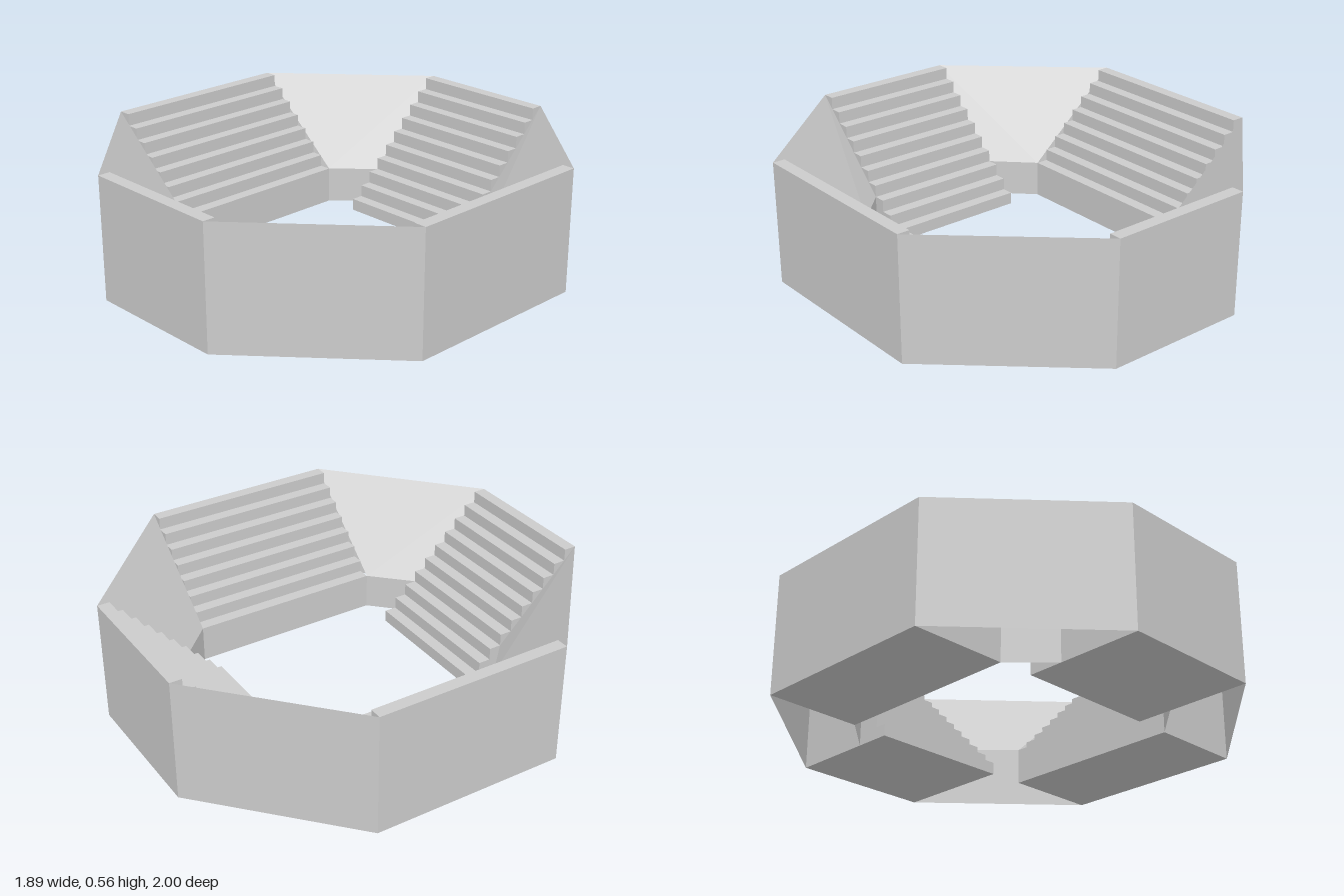
import * as THREE from 'three';

const S = 1 / 18;        // rise and run of one step
const H = 10 * S;        // overall height
const material = new THREE.MeshStandardMaterial({ color: 0xcccccc, flatShading: true });
const thin = new THREE.MeshStandardMaterial({ color: 0xcccccc, flatShading: true, side: THREE.DoubleSide });

// Solid flight of steps rising outward along +x, centred on z
function stairs(name, inner, count, firstHeight, width, angle) {
  const shape = new THREE.Shape();
  shape.moveTo(inner, 0);
  for (let i = 0; i < count; i++) {
    shape.lineTo(inner + i * S, firstHeight + i * S);
    shape.lineTo(inner + (i + 1) * S, firstHeight + i * S);
  }
  shape.lineTo(inner + count * S, 0);
  shape.closePath();
  const geometry = new THREE.ExtrudeGeometry(shape, { depth: width, bevelEnabled: false });
  geometry.translate(0, 0, -width / 2).rotateY(angle);
  const mesh = new THREE.Mesh(geometry, material);
  mesh.name = name;
  return mesh;
}

// Hollow corner: inner wall, sloping deck and outer wall, open underneath
function corner(name, sx, sz) {
  // Cross-sections at the side stairs and at the end stairs, inner foot to outer foot
  const low = 3 * S;
  const side = [[9 * S, 0], [9 * S, low], [17 * S, H], [17 * S, 0]].map(([x, y]) => [x * sx, y, 8 * S * sz]);
  const end = [[11 * S, 0], [11 * S, low], [18 * S, H], [18 * S, 0]].map(([z, y]) => [6 * S * sx, y, z * sz]);
  const positions = [];
  for (let i = 0; i < 3; i++) {
    const [a, b, c, d] = [side[i], end[i], end[i + 1], side[i + 1]];
    const faces = sx * sz > 0 ? [a, b, c, a, c, d] : [a, c, b, a, d, c];
    positions.push(...faces.flat());
  }
  const geometry = new THREE.BufferGeometry();
  geometry.setAttribute('position', new THREE.Float32BufferAttribute(positions, 3));
  geometry.computeVertexNormals();
  const mesh = new THREE.Mesh(geometry, thin);
  mesh.name = name;
  return mesh;
}

export function createModel() {
  const group = new THREE.Group();
  group.name = 'steppedArena';

  // Long sides start three steps high, the ends start at the ground
  group.add(
    stairs('leftStairs', 9 * S, 8, 3 * S, 16 * S, 0),
    stairs('rightStairs', 9 * S, 8, 3 * S, 16 * S, Math.PI),
    stairs('frontStairs', 8 * S, 10, S, 12 * S, -Math.PI / 2),
    stairs('backStairs', 8 * S, 10, S, 12 * S, Math.PI / 2)
  );

  // Four mirrored corners
  for (const sx of [1, -1]) {
    for (const sz of [1, -1]) {
      group.add(corner((sz > 0 ? 'front' : 'back') + (sx > 0 ? 'Left' : 'Right') + 'Corner', sx, sz));
    }
  }
  return group;
}
